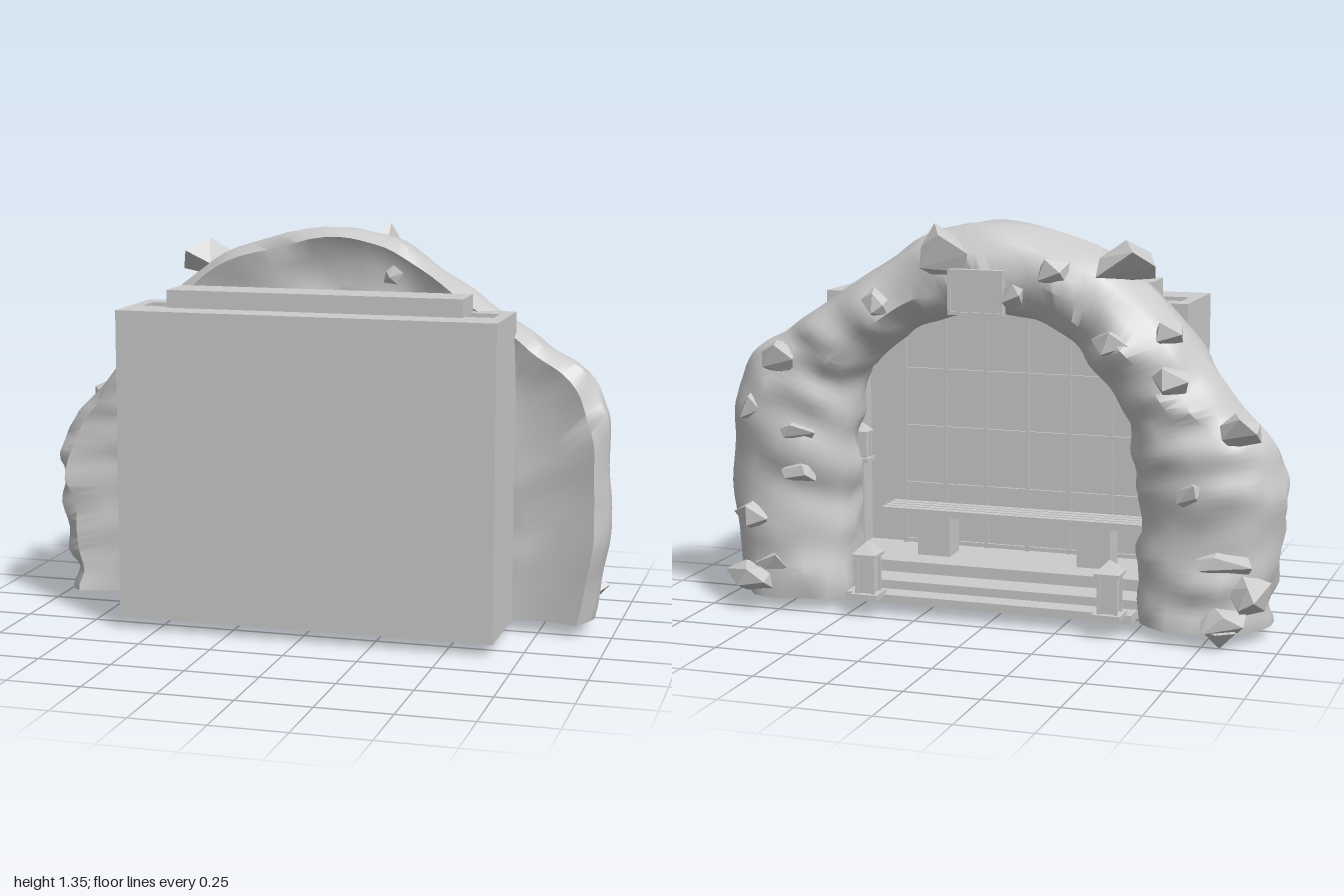
import * as THREE from 'three';
import { toCreasedNormals } from 'three/addons/utils/BufferGeometryUtils.js';
import { ConvexGeometry } from 'three/addons/geometries/ConvexGeometry.js';

const grey = new THREE.MeshStandardMaterial({ color: 0xcccccc });
const grey2 = new THREE.MeshStandardMaterial({ color: 0xcccccc, flatShading: true });

function seeded(seed) {
  let s = seed;
  return () => (s = (s * 16807) % 2147483647) / 2147483647;
}

function add(parent, name, geometry, material = grey) {
  const mesh = new THREE.Mesh(geometry, material);
  mesh.name = name;
  parent.add(mesh);
  return mesh;
}

// Box given by its limits on each axis
function slab(parent, name, x0, x1, y0, y1, z0, z1) {
  const mesh = add(parent, name, new THREE.BoxGeometry(x1 - x0, y1 - y0, z1 - z0));
  mesh.position.set((x0 + x1) / 2, (y0 + y1) / 2, (z0 + z1) / 2);
  return mesh;
}

const curve = pts => new THREE.CatmullRomCurve3(pts.map(([x, y]) => new THREE.Vector3(x, y, 0)));

// Rock arch: a D-shaped section swept between an outer and an inner outline
function archGeometry() {
  const outer = curve([[-.93, .04], [-.95, .22], [-.985, .46], [-.93, .65], [-.8, .81], [-.63, 1.02], [-.39, 1.24],
    [0, 1.345], [.24, 1.315], [.5, 1.14], [.72, .995], [.89, .89], [.97, .67], [.985, .38], [.92, .04]]);
  const inner = curve([[-.5, .04], [-.5, .25], [-.49, .45], [-.48, .6], [-.44, .74], [-.34, .89], [-.22, .99],
    [0, 1.05], [.2, 1.02], [.36, .94], [.47, .83], [.5, .65], [.52, .45], [.52, .25], [.53, .04]]);
  // Section as [inner-to-outer fraction, z], walked inner, front, outer, back
  const section = [[0, -.1], [.03, -.03], [.14, .01], [.38, 0], [.65, 0], [.9, .03], [.99, -.02], [1, -.08],
    [.95, -.15], [.85, -.205], [.7, -.24], [.5, -.255], [.3, -.24], [.14, -.205], [.04, -.155]];
  const knots = 36, n = 108, m = section.length, pos = [], index = [];
  const rand = seeded(41);
  const bumps = Array.from({ length: (knots + 2) * m }, () => rand() - .5);
  for (let i = 0; i <= n; i++) {
    const o = outer.getPoint(i / n), c = inner.getPoint(i / n);
    const f = i / n * knots, k = Math.floor(f), w = f - k, e = w * w * (3 - 2 * w);
    // Slow swelling shared by the whole section, plus a bump for each point
    const swell = Math.sin(i * .37) * .012 + Math.sin(i * .83 + 1) * .01;
    section.forEach(([s, z], j) => {
      const b = bumps[k * m + j] * (1 - e) + bumps[(k + 1) * m + j] * e;
      const front = j > 1 && j < 6;
      const q = s + (s - .5) * (b * .13 + swell * 2);
      const end = i === 0 || i === n;
      pos.push(c.x + (o.x - c.x) * q, end ? .04 : Math.max(.04, c.y + (o.y - c.y) * q),
        z + b * (front ? .024 : .04) - (front ? 0 : swell * .5));
    });
  }
  for (let i = 0; i < n; i++) for (let j = 0; j < m; j++) {
    const a = i * m + j, b = i * m + (j + 1) % m, c = a + m, d = b + m;
    index.push(a, c, b, b, c, d);
  }
  // Flat feet
  for (let j = 1; j < m - 1; j++) index.push(0, j, j + 1, n * m, n * m + j + 1, n * m + j);
  const g = new THREE.BufferGeometry();
  g.setAttribute('position', new THREE.Float32BufferAttribute(pos, 3));
  g.setIndex(index);
  return toCreasedNormals(g, .85);
}

// Angular stone: convex hull of a few scattered points
function rockGeometry(seed, w, h, d) {
  const rand = seeded(seed * 7919 + 13);
  for (let i = 0; i < 5; i++) rand();
  const pts = [];
  for (let i = 0; i < 9; i++) {
    const t = i * 2.4 + rand(), u = -1 + (2 * i + 1) / 9, r = Math.sqrt(1 - u * u), k = .45 + rand() * .25;
    pts.push(new THREE.Vector3(Math.cos(t) * r * w * k, u * h * k, Math.sin(t) * r * d * k));
  }
  return new ConvexGeometry(pts);
}

// Small post lantern with base, glass body, corner posts and pyramid roof
function lantern(parent, name, x, y, z, size) {
  const g = new THREE.Group();
  g.name = name;
  slab(g, 'lanternBase', -.24, .24, 0, .1, -.24, .24);
  slab(g, 'lanternBody', -.13, .13, .1, .74, -.13, .13);
  for (const sx of [-1, 1]) for (const sz of [-1, 1]) {
    slab(g, 'lanternPost', sx * .15 - .025, sx * .15 + .025, .1, .76, sz * .15 - .025, sz * .15 + .025);
  }
  slab(g, 'lanternEave', -.22, .22, .74, .79, -.22, .22);
  const roof = add(g, 'lanternRoof', new THREE.ConeGeometry(.3, .21, 4), grey2);
  roof.rotation.y = Math.PI / 4;
  roof.position.y = .895;
  g.scale.setScalar(size);
  g.position.set(x, y, z);
  parent.add(g);
}

export function createModel() {
  const model = new THREE.Group();
  model.name = 'archedAlcove';

  add(model, 'rockArch', archGeometry());

  // Stones: x, y, z, width, height, depth
  [[-.48, 1.23, -.14, .2, .13, .25], [.13, 1.26, -.25, .15, .16, .14], [-.235, 1.21, -.24, .1, .1, .08],
    [-.1, 1.13, -.25, .09, .09, .08], [-.44, .98, -.24, .11, .1, .1], [-.63, .87, -.23, .1, .1, .1],
    [-.71, .5, -.25, .09, .09, .08], [-.87, .72, -.23, .14, .1, .12], [-.81, .28, -.23, .19, .08, .1],
    [-.81, .085, -.25, .17, .1, .14], [-.9, .17, -.21, .12, .13, .14], [.37, 1.08, -.24, .1, .11, .09],
    [.5, 1.03, -.21, .11, .11, .1], [.75, .88, -.22, .12, .13, .11], [.67, .63, -.24, .14, .07, .09],
    [.67, .49, -.24, .15, .08, .1], [.85, .11, -.25, .17, .1, .15], [.84, .32, -.23, .13, .11, .13],
    [.78, .14, -.22, .12, .13, .11], [.24, 1.2, 0, .07, .06, .06], [.84, .7, -.21, .1, .1, .1],
    [-.62, 1.02, -.2, .1, .08, .09]
  ].forEach(([x, y, z, w, h, d], i) => {
    const rock = add(model, 'stone', rockGeometry(i + 1, w, h, d), grey2);
    rock.position.set(x, y, z);
  });
  // Lowest stone tip under one foot
  const tip = add(model, 'stoneTip', new THREE.ConeGeometry(.06, .06, 5), grey2);
  tip.rotation.x = Math.PI;
  tip.position.set(-.81, .03, -.25);

  // Alcove shell, open towards -z
  slab(model, 'alcoveFloor', -.63, .66, .04, .08, 0, .33);
  slab(model, 'alcoveWall', -.63, .66, .08, 1.06, .3, .33);
  slab(model, 'alcoveSide', -.63, -.59, .08, 1.06, 0, .3);
  slab(model, 'alcoveSide', .62, .66, .08, 1.06, 0, .3);

  // Ceiling with a long recess, closed below and covered by a raised bar
  const rect = (P, x0, x1, y0, y1) => new P([[x0, y0], [x1, y0], [x1, y1], [x0, y1]].map(p => new THREE.Vector2(...p)));
  const top = rect(THREE.Shape, -.63, .66, 0, .33);
  top.holes.push(rect(THREE.Path, -.59, .62, .08, .185));
  const ceiling = add(model, 'ceiling', new THREE.ExtrudeGeometry(top, { depth: .04, bevelEnabled: false }));
  ceiling.rotation.x = Math.PI / 2;
  ceiling.position.y = 1.09;
  slab(model, 'recessFloor', -.59, .62, 1.03, 1.05, .07, .2);
  slab(model, 'roofBar', -.49, .525, 1.085, 1.15, .06, .215);

  // Steps and raised floor
  slab(model, 'lowerStep', -.5, .52, .04, .07, -.2, .02);
  slab(model, 'upperStep', -.5, .52, .07, .1, -.12, .02);
  slab(model, 'raisedFloor', -.59, .62, .08, .14, 0, .3);

  // Lattice screen on the far wall
  slab(model, 'screenPanel', -.455, .485, .14, 1.02, .285, .3);
  for (let i = 0; i <= 6; i++) {
    const x = -.45 + i * .155;
    slab(model, 'latticeUpright', x - .007, x + .007, .14, 1.02, .275, .29);
  }
  for (let i = 0; i <= 4; i++) {
    const y = .15 + i * .21;
    slab(model, 'latticeRail', -.457, .487, y - .007, y + .007, .275, .29);
  }
  // Beams under the ceiling
  for (const [y, z] of [[1.0, .22], [.97, .255]]) slab(model, 'ceilingBeam', -.59, .62, y, y + .035, z, z + .03);

  // Slatted bench on two block legs
  for (let i = 0; i < 4; i++) slab(model, 'benchSlat', -.47, .5, .285, .31, .09 + i * .035, .118 + i * .035);
  for (const x of [-.28, .31]) slab(model, 'benchLeg', x - .06, x + .06, .14, .285, .11, .21);

  // Lanterns beside the steps, and taller ones on poles inside
  for (const s of [-1, 1]) {
    lantern(model, 'stepLantern', s * .43, .06, -.215, .2);
    lantern(model, 'poleLantern', .015 + s * .56, .47, .1, .14);
    slab(model, 'lanternPole', .015 + s * .56 - .009, .015 + s * .56 + .009, .14, .47, .091, .109);
  }

  // Blank plaque above the opening
  slab(model, 'plaque', -.08, .11, 1.06, 1.21, -.28, -.255);
  for (const y of [1.06, 1.2]) slab(model, 'plaqueTrim', -.08, .11, y, y + .01, -.287, -.28);
  for (const x of [-.08, .1]) slab(model, 'plaqueTrim', x, x + .01, 1.07, 1.2, -.287, -.28);

  return model;
}
